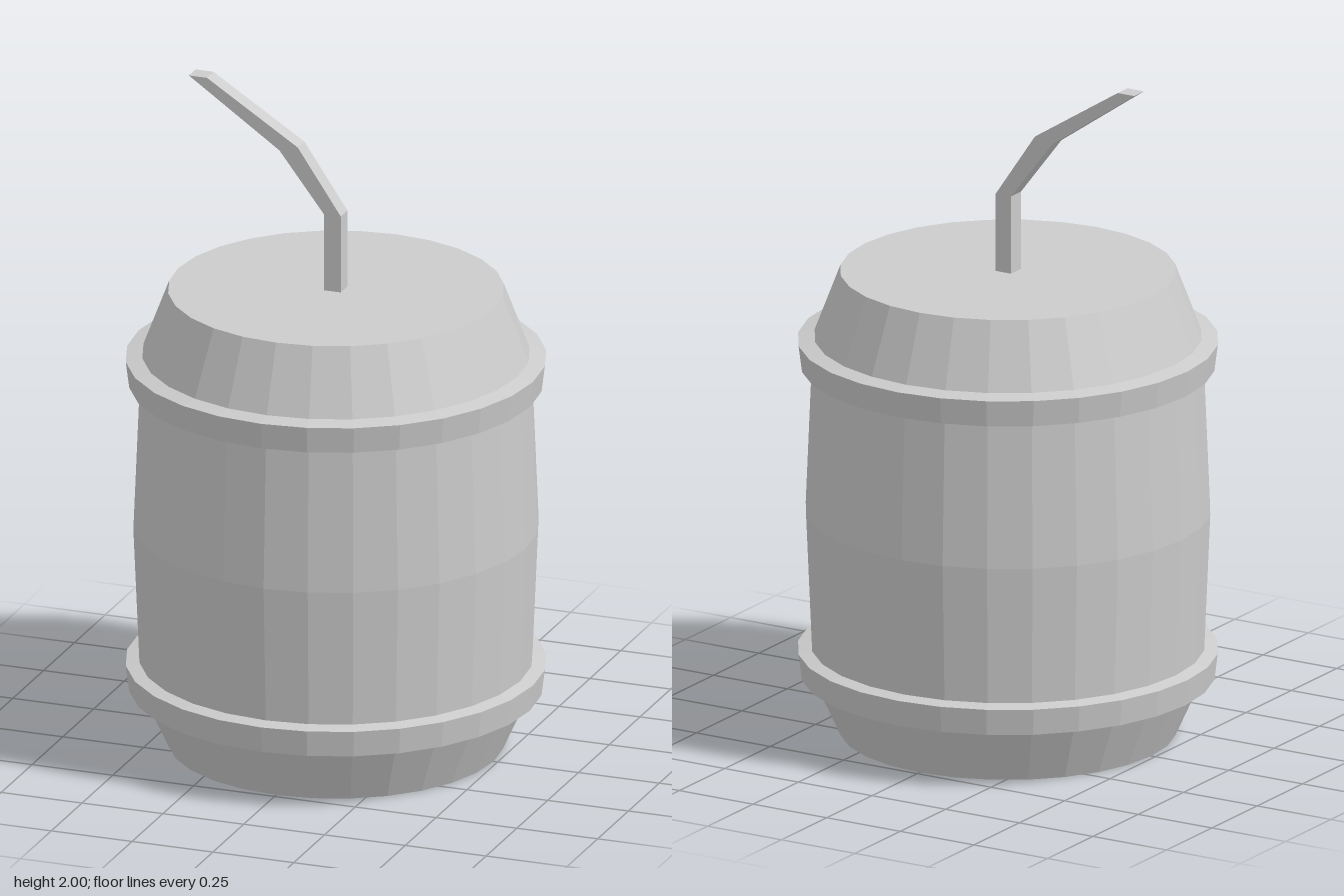
import * as THREE from 'three';

const SIDES = 28;
const material = new THREE.MeshStandardMaterial({ color: 0xcccccc, flatShading: true });

// Surface of revolution from [radius, height] pairs, listed bottom to top
function turned(name, profile) {
  const points = profile.map(([r, y]) => new THREE.Vector2(r, y));
  const mesh = new THREE.Mesh(new THREE.LatheGeometry(points, SIDES), material);
  mesh.name = name;
  return mesh;
}

// Square tube through sections given as [left x, left y, right x, right y]
function squareTube(name, sections, halfDepth) {
  const positions = [];
  const index = [];
  for (const [lx, ly, rx, ry] of sections) {
    positions.push(lx, ly, halfDepth, rx, ry, halfDepth, rx, ry, -halfDepth, lx, ly, -halfDepth);
  }
  for (let s = 0; s < sections.length - 1; s++) {
    for (let k = 0; k < 4; k++) {
      const a = s * 4 + k;
      const b = s * 4 + (k + 1) % 4;
      index.push(a, b, b + 4, a, b + 4, a + 4);
    }
  }
  const t = (sections.length - 1) * 4;
  index.push(0, 2, 1, 0, 3, 2, t, t + 1, t + 2, t, t + 2, t + 3);
  const geometry = new THREE.BufferGeometry();
  geometry.setAttribute('position', new THREE.Float32BufferAttribute(positions, 3));
  geometry.setIndex(index);
  geometry.computeVertexNormals();
  const mesh = new THREE.Mesh(geometry, material);
  mesh.name = name;
  return mesh;
}

export function createModel() {
  const model = new THREE.Group();
  model.name = 'drinkCan';

  // Bulging can with tapered, flat-capped ends
  model.add(turned('canBody', [
    [0, 0], [0.487, 0], [0.562, 0.165], [0.57, 0.25], [0.588, 0.67],
    [0.57, 1.1], [0.562, 1.195], [0.487, 1.393], [0, 1.393],
  ]));

  // Raised rims, slightly wider at the top
  for (const [name, y] of [['lowerRim', 0.165], ['upperRim', 1.1]]) {
    model.add(turned(name, [
      [0.562, y - 0.002], [0.6, y + 0.006], [0.61, y + 0.085], [0.562, y + 0.095],
    ]));
  }

  // Bent straw, cut level at its tip
  model.add(squareTube('straw', [
    [-0.027, 1.39, 0.025, 1.39],
    [-0.027, 1.627, 0.025, 1.627],
    [-0.165, 1.806, -0.108, 1.822],
    [-0.445, 2, -0.389, 2],
  ], 0.027));

  return model;
}
